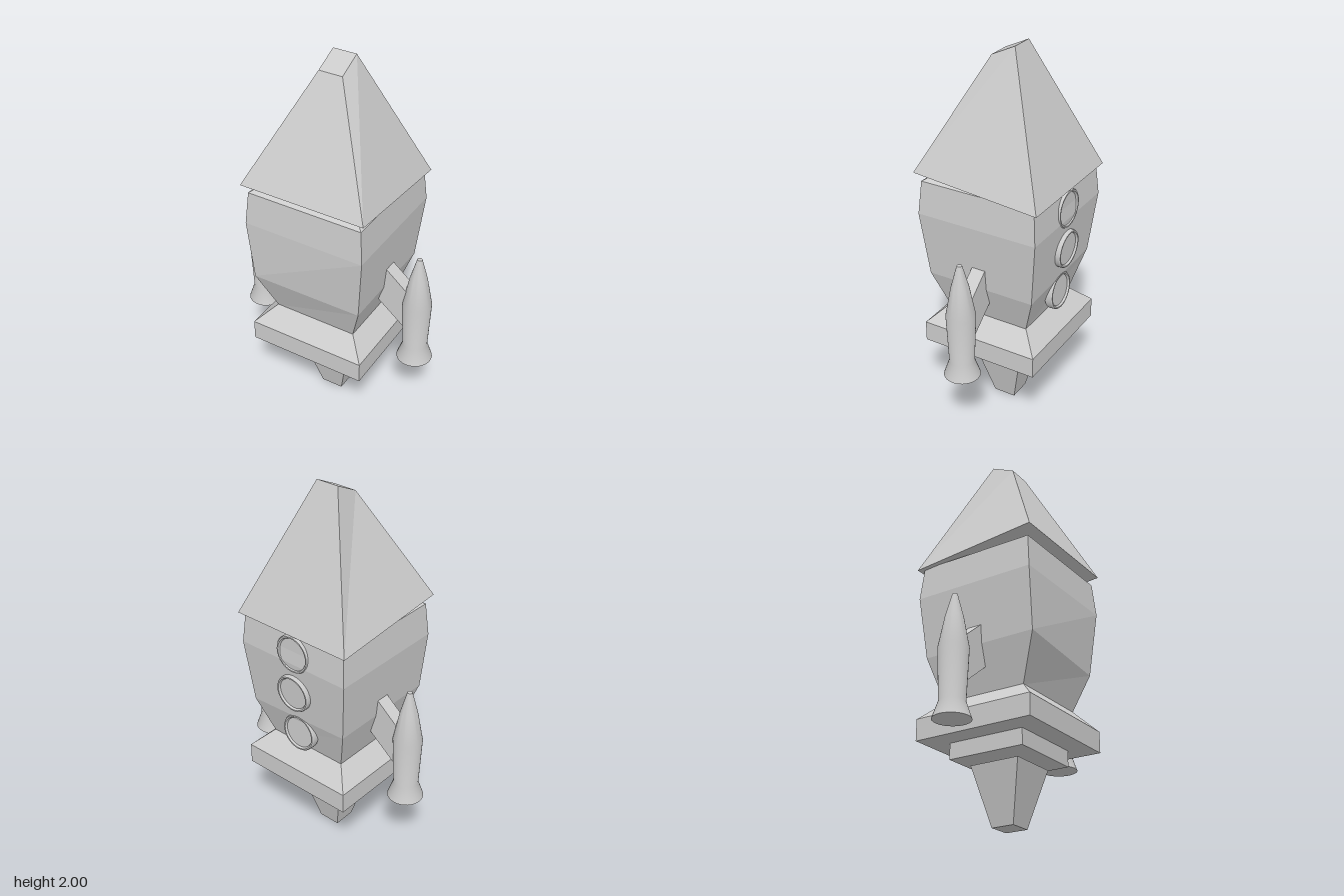
import * as THREE from 'three';
import { toCreasedNormals } from 'three/addons/utils/BufferGeometryUtils.js';

const flat = new THREE.MeshStandardMaterial({ color: 0xcccccc, flatShading: true });
const smooth = new THREE.MeshStandardMaterial({ color: 0xcccccc });

function add(parent, name, geometry, material = flat) {
  const mesh = new THREE.Mesh(geometry, material);
  mesh.name = name;
  parent.add(mesh);
  return mesh;
}

// Closed square loft from rows of [y, half width], bottom to top.
// An optional adjust(point, row) nudges single corners.
function squareLoft(rows, adjust = () => {}) {
  const signs = [[1, 1], [1, -1], [-1, -1], [-1, 1]];
  const rings = rows.map(([y, h], row) => signs.map(([sx, sz]) => {
    const p = new THREE.Vector3(sx * h, y, sz * h);
    adjust(p, row);
    return p;
  }));
  const points = [];
  const quad = (a, b, c, d) => points.push(a, b, c, a, c, d);
  for (let r = 0; r < rings.length - 1; r++) {
    for (let i = 0; i < 4; i++) {
      const j = (i + 1) % 4;
      quad(rings[r][i], rings[r][j], rings[r + 1][j], rings[r + 1][i]);
    }
  }
  const [a, b, c, d] = rings[0];
  quad(d, c, b, a);
  quad(...rings[rings.length - 1]);
  const geometry = new THREE.BufferGeometry().setFromPoints(points);
  geometry.computeVertexNormals();
  return geometry;
}

function lathe(profile, segments) {
  const points = profile.map(([r, y]) => new THREE.Vector2(r, y));
  return toCreasedNormals(new THREE.LatheGeometry(points, segments), 0.5);
}

export function createModel() {
  const model = new THREE.Group();
  model.name = 'rocket';

  // Nose: slanted pyramid with a cut-off tip
  add(model, 'noseCone', squareLoft([[1.35, 0.34], [1.97, 0.063]], (p, row) => {
    p.y += (row === 0 ? 0.03 : -0.03) * Math.sign(p.z);
  }));

  // Barrel-like hull with a slightly crooked lower seam
  add(model, 'hull', squareLoft(
    [[0.6, 0.226], [0.82, 0.295], [1.155, 0.329], [1.33, 0.314], [1.37, 0.245]],
    (p, row) => {
      if (row !== 1) return;
      p.y -= 0.012 * Math.sign(p.x);
      if (p.x < 0 && p.z > 0) p.z += 0.028;
    }));

  // Stepped base and exhaust nozzle
  add(model, 'baseSkirt', squareLoft([[0.4, 0.322], [0.51, 0.322], [0.605, 0.226]]));
  add(model, 'baseStep', squareLoft([[0.318, 0.206], [0.4, 0.206]]));
  add(model, 'nozzle', squareLoft([[0, 0.06], [0.295, 0.134], [0.32, 0.06]]));

  // Side boosters on slanted struts
  const boosterShape = lathe(
    [[0, 0.4], [0.093, 0.4], [0.064, 0.485], [0.075, 0.75], [0.045, 0.91], [0.013, 1.03], [0, 1.033]], 32);
  for (const side of [1, -1]) {
    const label = side > 0 ? 'left' : 'right';
    const booster = add(model, label + 'Booster', boosterShape, smooth);
    booster.position.x = side * 0.469;

    const outline = [[0.2, 0.77], [0.41, 0.6], [0.42, 0.83], [0.3, 0.93], [0.2, 0.93]]
      .map(([x, y]) => new THREE.Vector2(side * x, y));
    const strut = new THREE.ExtrudeGeometry(new THREE.Shape(outline), { depth: 0.074, bevelEnabled: false });
    strut.translate(0, 0, -0.038);
    add(model, label + 'Strut', strut);
  }

  // Round portholes down the back: [y, outer z, tilt]
  const porthole = lathe(
    [[0.1, -0.04], [0.1, -0.006], [0.096, 0], [0.089, 0], [0.083, -0.01], [0, -0.01]], 32);
  porthole.rotateX(-Math.PI / 2);
  [[1.21, -0.333, 0], [0.985, -0.339, -0.04], [0.73, -0.3, 0.03]].forEach(([y, z, tilt], i) => {
    const ring = add(model, 'porthole' + (i + 1), porthole, smooth);
    ring.position.set(-0.004, y, z);
    ring.rotation.x = tilt;
  });

  return model;
}
